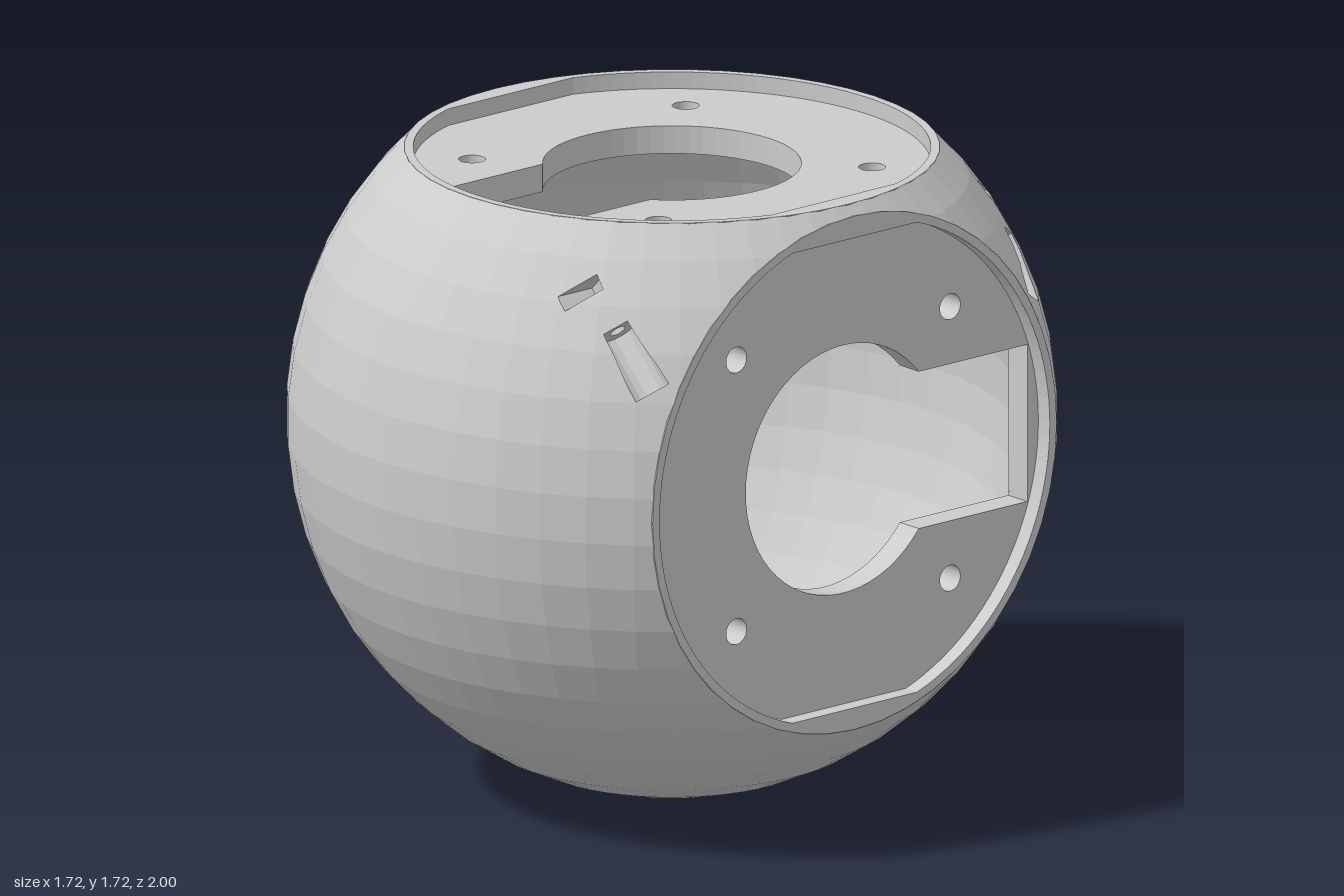
import * as THREE from 'three';

const V = (x, y, z) => new THREE.Vector3(x, y, z);
const CUT = 0.72, FLOOR = 0.675, UNDER = 0.6;   // face plane, recess floor, plate underside
const material = new THREE.MeshStandardMaterial({ color: 0xcccccc, flatShading: true, side: THREE.DoubleSide });

// --- small polygon toolkit: convex solids are cut from each other by planes ---
function toPolys(geometry) {
  const g = geometry.index ? geometry.toNonIndexed() : geometry;
  const p = g.attributes.position, polys = [];
  for (let i = 0; i < p.count; i += 3) {
    polys.push([0, 1, 2].map(k => V().fromBufferAttribute(p, i + k)));
  }
  return polys;
}
const toPlanes = polys => polys.map(q => new THREE.Plane().setFromCoplanarPoints(...q));
const flip = polys => polys.map(q => [...q].reverse());

// Part of a polygon on one side of a plane, or null
function clip(poly, plane, sign) {
  const d = poly.map(p => sign * plane.distanceToPoint(p));
  if (!d.some(v => v > 1e-6)) return null;
  const out = [];
  poly.forEach((p, i) => {
    const j = (i + 1) % poly.length;
    if (d[i] >= 0) out.push(p);
    if (d[i] * d[j] < 0) out.push(p.clone().lerp(poly[j], d[i] / (d[i] - d[j])));
  });
  return out.length > 2 ? out : null;
}
function keepInside(polys, planes) {
  return polys.map(q => planes.reduce((r, pl) => r && clip(r, pl, -1), q)).filter(Boolean);
}
function subtract(polys, planes) {
  return polys.flatMap(q => {
    const pieces = [];
    let rest = q;
    for (const pl of planes) {
      const outside = clip(rest, pl, 1);
      if (outside) pieces.push(outside);
      rest = clip(rest, pl, -1);
      if (!rest) return [q].filter(() => true);
    }
    return pieces;
  });
}
function polyMesh(name, polys) {
  const pts = [];
  for (const q of polys) for (let i = 1; i < q.length - 1; i++) pts.push(q[0], q[i], q[i + 1]);
  const g = new THREE.BufferGeometry().setFromPoints(pts);
  g.computeVertexNormals();
  return addName(new THREE.Mesh(g, material), name);
}
const addName = (o, name) => { o.name = name; return o; };

// --- face plate pieces, drawn in XY with the outside towards +Z ---
const disc = r => new THREE.Shape().absarc(0, 0, r, 0, Math.PI * 2, false);

function recessOutline() {
  const a = Math.acos(0.635 / 0.67);              // round with two flats
  const path = new THREE.Path();
  path.absarc(0, 0, 0.67, a, Math.PI - a, false);
  path.absarc(0, 0, 0.67, Math.PI + a, 2 * Math.PI - a, false);
  path.closePath();
  return path;
}
function keyhole() {
  const w = 0.212, r = 0.335, a = Math.acos(w / r);
  const path = new THREE.Path();
  path.absarc(0, 0, r, -a, Math.PI + a, false);
  path.lineTo(-w, -0.632);
  path.lineTo(w, -0.632);
  path.closePath();
  return path;
}
function slab(name, shape, from, to) {
  const g = new THREE.ExtrudeGeometry(shape, { depth: to - from, bevelEnabled: false, curveSegments: 24 });
  g.translate(0, 0, from);
  return addName(new THREE.Mesh(g, material), name);
}
function facePlate(name) {
  const rim = disc(0.694);
  rim.holes.push(recessOutline());
  const plate = disc(0.675);
  plate.holes.push(keyhole());
  for (const x of [-1, 1]) for (const y of [-1, 1]) {
    plate.holes.push(new THREE.Path().absarc(0.367 * x, 0.367 * y, 0.035, 0, Math.PI * 2, false));
  }
  const group = addName(new THREE.Group(), name);
  group.add(slab('rim', rim, FLOOR, CUT), slab('mountingPlate', plate, UNDER, FLOOR));
  return group;
}

// --- diagonal screw pocket: counterbore groove, screw hole and nut slot ---
const T = V(1, -1, 0).normalize(), N = V(1, 1, 0).normalize(), Z = V(0, 0, 1);

function pocketTools(side, front) {
  const place = (g, t, z) => {
    const at = N.clone().multiplyScalar(0.707 * side).addScaledVector(T, t).addScaledVector(Z, z * front);
    const m = new THREE.Matrix4().makeBasis(T.clone().cross(Z), T, Z).setPosition(at);
    return toPolys(g.applyMatrix4(m));
  };
  const end = side > 0 ? 0.24 : 0.52, start = 0.045;
  return {
    groove: place(new THREE.CylinderGeometry(0.05, 0.05, end - start, 16), (start + end) / 2, 0.65),
    nut: place(new THREE.BoxGeometry(0.08, 0.045, 0.16), -0.085, 0.7),
    screw: place(new THREE.CylinderGeometry(0.022, 0.022, 0.14, 12), -0.01, 0.65),
  };
}

export function createModel() {
  const model = addName(new THREE.Group(), 'hollowBall');
  const ball = addName(new THREE.Group(), 'ball');
  ball.position.set(0.14, 1, 0);
  model.add(ball);

  const sphere = r => toPolys(new THREE.SphereGeometry(r, 50, 25).rotateY(Math.PI / 2));
  const cuts = d => [new THREE.Plane(V(0, 1, 0), -d), new THREE.Plane(V(1, 0, 0), -d)];

  // Outer skin, cut flat on top and on one side
  const outerPlanes = toPlanes(sphere(1));
  let skin = keepInside(sphere(1), cuts(CUT));

  // Four screw pockets across the diagonal joint
  for (const side of [-1, 1]) for (const front of [-1, 1]) {
    const { groove, nut, screw } = pocketTools(side, front);
    const [gp, np, sp] = [groove, nut, screw].map(toPlanes);
    skin = subtract(subtract(skin, gp), np);
    const pocket = addName(new THREE.Group(), 'screwPocket');
    const limits = [...outerPlanes, ...cuts(CUT)];
    const wall = tool => subtract(keepInside(flip(tool), limits), sp);
    pocket.add(
      polyMesh('groove', wall(groove)),
      polyMesh('nutSlot', wall(nut)),
      polyMesh('screwHole', subtract(subtract(flip(screw), gp), np)),
    );
    ball.add(pocket);
  }
  ball.add(polyMesh('outerShell', skin));

  // Inner cavity wall, ending under the plates
  ball.add(polyMesh('innerShell', flip(keepInside(sphere(0.9), cuts(UNDER + 0.01)))));

  // Two identical face plates
  const top = facePlate('topFace');
  top.rotation.x = -Math.PI / 2;
  const sidePlate = facePlate('sideFace');
  sidePlate.setRotationFromMatrix(new THREE.Matrix4().makeBasis(V(0, 1, 0), V(0, 0, 1), V(1, 0, 0)));
  ball.add(top, sidePlate);
  return model;
}
